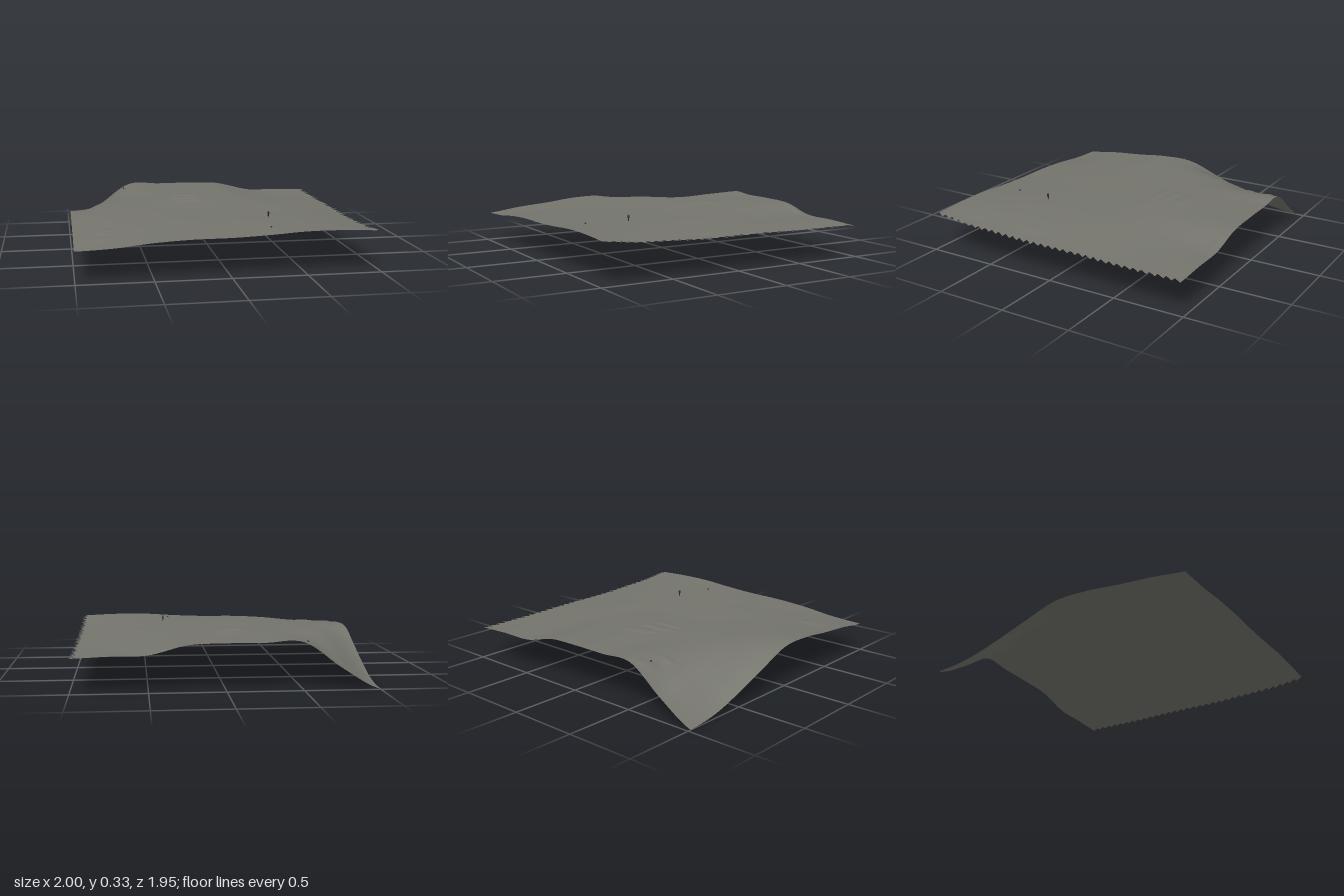
import * as THREE from 'three';

// Control heights: one row per z from back to front, one column per x from -1 to 1
const HEIGHTS = [
  [0, .14, .31, .31, .31, .30, .24, .235, .225],
  [.03, .19, .305, .305, .305, .295, .25, .235, .225],
  [.105, .245, .295, .30, .30, .29, .26, .24, .225],
  [.195, .285, .295, .295, .295, .285, .27, .25, .23],
  [.28, .295, .29, .285, .285, .28, .275, .255, .23],
  [.285, .285, .28, .28, .28, .28, .275, .26, .23],
  [.26, .265, .27, .275, .275, .28, .28, .265, .24],
  [.24, .245, .255, .265, .27, .275, .28, .275, .25],
  [.21, .22, .245, .258, .26, .27, .285, .285, .275],
];
const HALF_DEPTH = 0.975, TOOTH_X = 0.963;

// Small slanted terraces: centre x, centre z, half width, half depth, height
const TERRACES = [
  [-.08, -.43, .10, .06, .008], [-.11, -.305, .13, .03, .008], [-.12, -.20, .13, .03, .008],
  [-.78, .61, .07, .03, .008], [-.80, .67, .07, .02, .006],
  [.42, -.93, .12, .03, .006], [-.56, -.88, .05, .05, .006], [-.58, -.72, .06, .04, .006],
];

function cubic(p, t) {
  const n = p.length - 1, s = Math.min(Math.max(t, 0), 1) * n;
  const i = Math.min(Math.floor(s), n - 1), f = s - i;
  const a = p[Math.max(i - 1, 0)], b = p[i], c = p[i + 1], d = p[Math.min(i + 2, n)];
  return b + 0.5 * f * (c - a + f * (2 * a - 5 * b + 4 * c - d + f * (3 * (b - c) + d - a)));
}

function heightAt(x, z) {
  const rows = HEIGHTS.map((row) => cubic(row, (x + 1) / 2));
  let y = cubic(rows, (z / HALF_DEPTH + 1) / 2);
  for (const [cx, cz, w, d, h] of TERRACES) {
    const u = Math.abs(x - cx + 0.7 * (z - cz)) / w, v = Math.abs(z - cz) / d;
    y += h * THREE.MathUtils.clamp(3 * (1 - Math.max(u, v)), 0, 1);
  }
  return Math.max(0, y);
}

// Sheet of ground with a saw-toothed edge on +x
function groundGeometry() {
  const cols = 84, rows = 99, tooth = 3;
  const pos = [], index = [];
  const add = (x, z) => pos.push(x, heightAt(x, z), z) / 3 - 1;
  const zAt = (j) => -HALF_DEPTH + (2 * HALF_DEPTH * j) / rows;
  for (let j = 0; j <= rows; j++) {
    for (let i = 0; i <= cols; i++) add(-1 + ((TOOTH_X + 1) * i) / cols, zAt(j));
  }
  const id = (i, j) => j * (cols + 1) + i;
  for (let j = 0; j < rows; j++) {
    for (let i = 0; i < cols; i++) {
      const a = id(i, j), b = id(i + 1, j), c = id(i, j + 1), d = id(i + 1, j + 1);
      index.push(a, c, b, b, c, d);
    }
  }
  for (let j = 0; j < rows; j += tooth) {
    const tip = add(1, zAt(j));
    for (let k = 0; k < tooth; k++) index.push(id(cols, j + k), id(cols, j + k + 1), tip);
  }
  const geo = new THREE.BufferGeometry();
  geo.setAttribute('position', new THREE.Float32BufferAttribute(pos, 3));
  geo.setIndex(index);
  geo.computeVertexNormals();
  return geo;
}

export function createModel() {
  const group = new THREE.Group();
  const earth = new THREE.MeshStandardMaterial({ color: 0x74746d, side: THREE.DoubleSide });
  earth.name = 'earth grey';
  const dark = new THREE.MeshStandardMaterial({ color: 0x2c2c29 });
  dark.name = 'dark grey';

  const ground = new THREE.Mesh(groundGeometry(), earth);
  ground.name = 'ground';
  group.add(ground);

  // Tiny markers standing on the ground: x, z, height
  const profile = [[0, 0], [.003, 0], [.004, .4], [.007, .55], [.007, .85], [.004, 1], [0, 1]];
  for (const [x, z, h] of [[.355, .47, .045], [.305, .77, .01], [-.55, -.84, .01]]) {
    const points = profile.map(([r, t]) => new THREE.Vector2(r, t * h));
    const marker = new THREE.Mesh(new THREE.LatheGeometry(points, 8), dark);
    marker.position.set(x, heightAt(x, z), z);
    marker.name = 'marker';
    group.add(marker);
  }
  return group;
}
